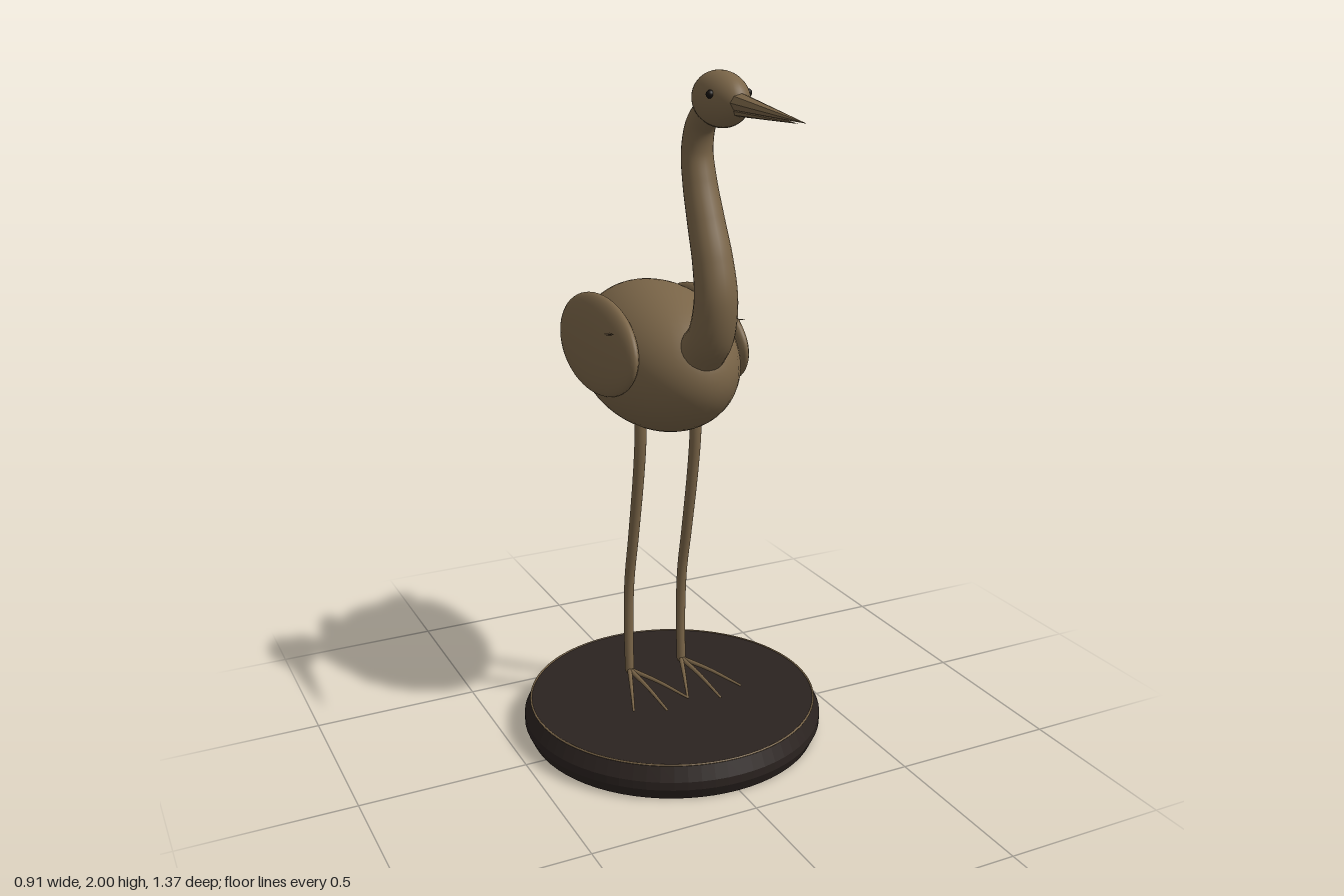
import * as THREE from 'three';
import { ParametricGeometry } from 'three/addons/geometries/ParametricGeometry.js';

const V = (x, y, z) => new THREE.Vector3(x, y, z);
const bronze = new THREE.MeshStandardMaterial({ color: 0x7a6548 });
const bronzeFlat = new THREE.MeshStandardMaterial({ color: 0x7a6548, flatShading: true });
const bronzeSheet = new THREE.MeshStandardMaterial({ color: 0x7a6548, side: THREE.DoubleSide });
const darkWood = new THREE.MeshStandardMaterial({ color: 0x2b2320, flatShading: true });
const black = new THREE.MeshStandardMaterial({ color: 0x15110e });

function add(parent, name, geometry, material = bronze) {
  const mesh = new THREE.Mesh(geometry, material);
  mesh.name = name;
  parent.add(mesh);
  return mesh;
}

function ellipsoid(parent, name, center, radii, material) {
  const geometry = new THREE.SphereGeometry(1, 40, 28).scale(...radii);
  const mesh = add(parent, name, geometry, material);
  mesh.position.copy(center);
  return mesh;
}

// Round tube along a smooth path whose radius runs from r0 to r1, closed by end balls
function taperedTube(parent, name, points, r0, r1, segments = 40, sides = 16) {
  const curve = new THREE.CatmullRomCurve3(points);
  const geometry = new THREE.TubeGeometry(curve, segments, 1, sides);
  const pos = geometry.attributes.position;
  const p = new THREE.Vector3();
  for (let i = 0; i <= segments; i++) {
    const c = curve.getPointAt(i / segments);
    const r = r0 + (r1 - r0) * i / segments;
    for (let j = 0; j <= sides; j++) {
      const k = i * (sides + 1) + j;
      p.fromBufferAttribute(pos, k).sub(c).multiplyScalar(r).add(c);
      pos.setXYZ(k, p.x, p.y, p.z);
    }
  }
  add(parent, name, geometry);
  for (const [end, r] of [[points[0], r0], [points[points.length - 1], r1]]) {
    add(parent, name + 'End', new THREE.SphereGeometry(r, sides, 10)).position.copy(end);
  }
}

// Pointed spike from a base point to a tip
function spike(parent, name, from, to, radius, sides, flatten = 1) {
  const dir = to.clone().sub(from);
  const length = dir.length();
  const geometry = new THREE.ConeGeometry(radius, length, sides)
    .translate(0, length / 2, 0).rotateX(Math.PI / 2).scale(1, flatten, 1);
  const mesh = add(parent, name, geometry, bronzeFlat);
  mesh.position.copy(from);
  mesh.lookAt(to);
}

// Thin drooping leaf-shaped tail
function tailGeometry() {
  const spine = new THREE.CatmullRomCurve3([
    V(0, 1.16, -0.42), V(0, 1.14, -0.49), V(0, 1.115, -0.56), V(0, 1.065, -0.62), V(0, 1.0, -0.69)]);
  return new ParametricGeometry((u, v, out) => {
    const s = u * 2 - 1;
    const c = spine.getPoint(v);
    const width = v < 0.5 ? 0.04 + 0.04 * Math.sin(v * Math.PI)
      : 0.08 * Math.pow(Math.cos((v - 0.5) * Math.PI), 0.8);
    out.set(s * width, c.y - 0.028 * s * s * (width / 0.08), c.z);
  }, 12, 24);
}

export function createModel() {
  const model = new THREE.Group();
  model.name = 'wadingBird';

  // Round stand with bevelled edge and thin trim ring
  const base = new THREE.Group();
  base.name = 'base';
  base.position.z = -0.043;
  model.add(base);
  const profile = [[0, 0], [0.44, 0], [0.456, 0.035], [0.456, 0.06], [0.436, 0.104], [0, 0.104]]
    .map(([x, y]) => new THREE.Vector2(x, y));
  add(base, 'stand', new THREE.LatheGeometry(profile, 72), darkWood);
  const ring = add(base, 'trimRing', new THREE.TorusGeometry(0.436, 0.003, 8, 72).rotateX(Math.PI / 2));
  ring.position.y = 0.104;

  // Body, neck and head
  ellipsoid(model, 'body', V(0, 1.162, -0.145), [0.208, 0.217, 0.352]);
  taperedTube(model, 'neck', [
    V(0, 1.24, 0.15), V(0, 1.30, 0.205), V(0, 1.40, 0.23), V(0, 1.50, 0.21), V(0, 1.60, 0.17),
    V(0, 1.70, 0.132), V(0, 1.78, 0.115), V(0, 1.85, 0.132), V(0, 1.90, 0.18)], 0.067, 0.038, 64, 24);
  ellipsoid(model, 'head', V(0, 1.929, 0.247), [0.06, 0.073, 0.118]);

  // Two-part beak
  spike(model, 'upperBeak', V(0, 1.929, 0.335), V(0, 1.906, 0.675), 0.03, 8, 0.85);
  spike(model, 'lowerBeak', V(0, 1.908, 0.33), V(0, 1.902, 0.64), 0.021, 8, 0.75);

  // Tail
  add(model, 'tail', tailGeometry(), bronzeSheet);

  for (const side of [1, -1]) {
    const half = new THREE.Group();
    half.name = side > 0 ? 'leftParts' : 'rightParts';
    model.add(half);

    ellipsoid(half, 'eye', V(side * 0.054, 1.946, 0.292), [0.011, 0.011, 0.011], black);

    // Folded wing, its top leaning inward
    const wing = ellipsoid(half, 'wing', V(side * 0.173, 1.205, -0.18), [0.044, 0.144, 0.272]);
    wing.rotation.z = side * 0.1;

    // Flight feathers behind the wing and a small one at the shoulder
    for (let i = 0; i < 4; i++) {
      spike(half, 'flightFeather', V(side * (0.15 - i * 0.008), 1.15 - i * 0.014, -0.39),
        V(side * (0.088 - i * 0.008), 1.115 - i * 0.008, -0.54 + i * 0.012), 0.014, 6, 0.5);
    }
    spike(half, 'shoulderFeather', V(side * 0.19, 1.257, -0.08), V(side * 0.206, 1.281, 0.02), 0.014, 6, 0.5);

    // Leg
    const x = side * 0.09;
    taperedTube(half, 'leg', [
      V(x, 1.02, -0.064), V(x, 0.92, -0.068), V(x, 0.8, -0.085), V(x, 0.6, -0.125),
      V(x, 0.45, -0.157), V(x, 0.3, -0.167), V(x, 0.146, -0.163)], 0.018, 0.014);

    // Three long spread toes
    for (const spread of [-1, 0, 1]) {
      const reach = spread ? 0.23 : 0.27;
      taperedTube(half, 'toe', [
        V(x, 0.145, -0.163),
        V(x + spread * 0.045, 0.146, -0.163 + reach * 0.5),
        V(x + spread * 0.09, 0.136, -0.163 + reach)], 0.008, 0.004, 16, 8);
    }
  }
  return model;
}
